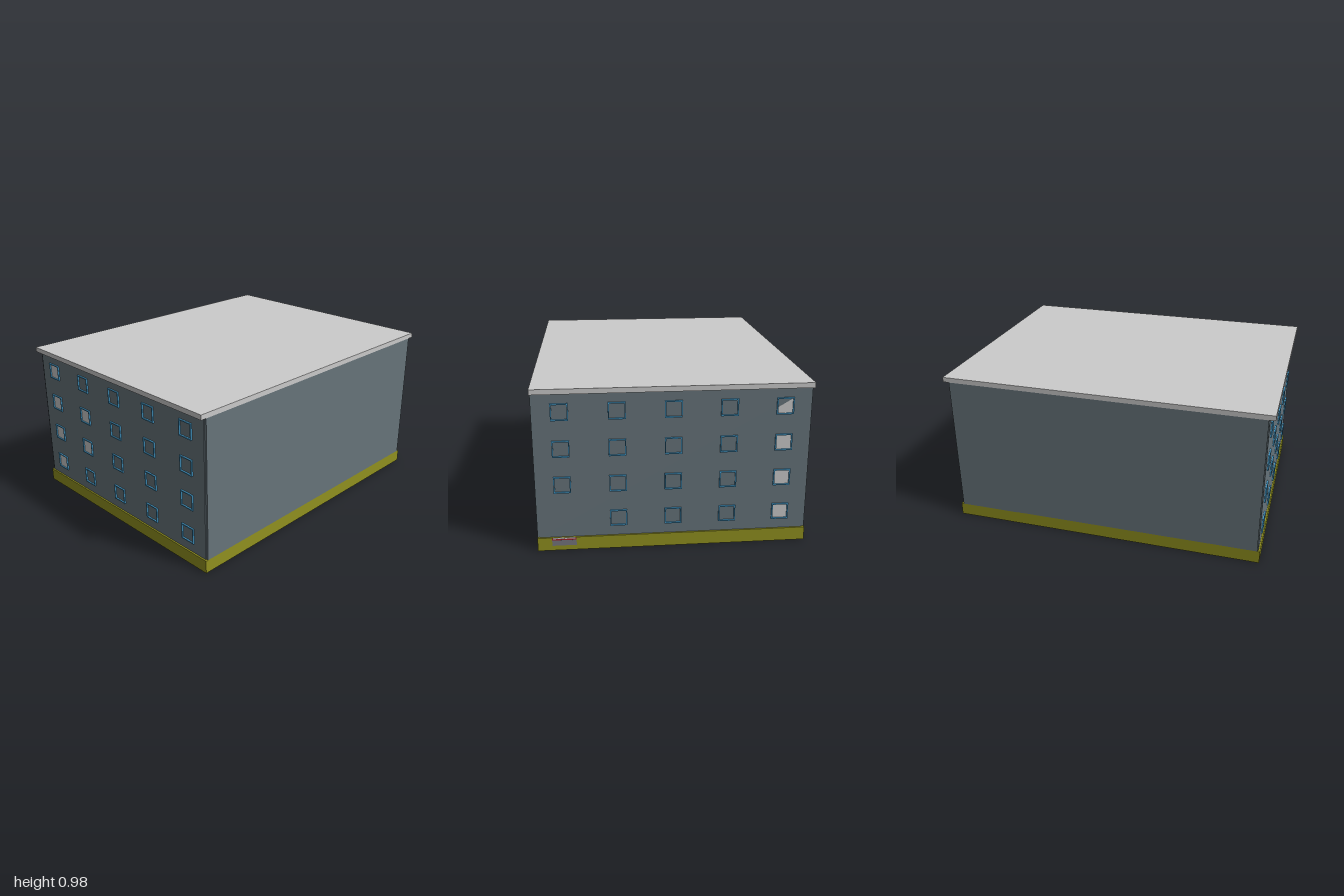
import * as THREE from 'three';

const mat = (color) => new THREE.MeshStandardMaterial({ color });
const wallMat = mat(0x67747b), baseMat = mat(0x91911f), greyMat = mat(0xcccccc);
const frameMat = mat(0x4ba6d8), redMat = mat(0xa02028), stepMat = mat(0x77777f);

function box(name, material, size, pos) {
  const mesh = new THREE.Mesh(new THREE.BoxGeometry(...size), material);
  mesh.name = name;
  mesh.position.set(...pos);
  return mesh;
}

// Square window frame facing +x, with an optional pane
const S = 0.098, T = 0.007;
function makeWindow(pane) {
  const g = new THREE.Group();
  g.name = 'window';
  const h = S / 2, i = h - T;
  const shape = new THREE.Shape([[-h, -h], [h, -h], [h, h], [-h, h]].map(p => new THREE.Vector2(...p)));
  shape.holes.push(new THREE.Path([[-i, -i], [-i, i], [i, i], [i, -i]].map(p => new THREE.Vector2(...p))));
  const geo = new THREE.ExtrudeGeometry(shape, { depth: 0.012, bevelEnabled: false });
  geo.rotateY(Math.PI / 2);
  const frame = new THREE.Mesh(geo, frameMat);
  frame.name = 'windowFrame';
  g.add(frame);
  if (pane) {
    // A half pane has its upper front corner cut away
    const cut = pane === 'half' ? -0.008 : i;
    const outline = new THREE.Shape([[-i, -i], [i, -i], [i, i], [-i, cut]].map(p => new THREE.Vector2(...p)));
    const glass = new THREE.Mesh(new THREE.ShapeGeometry(outline), greyMat);
    glass.name = 'windowPane';
    glass.rotation.y = Math.PI / 2;
    glass.position.x = 0.004;
    g.add(glass);
  }
  return g;
}

export function createModel() {
  const model = new THREE.Group();
  model.name = 'apartmentBlock';

  // Plinth, side walls, end walls and flat roof
  model.add(box('plinth', baseMat, [1.958, 0.08, 1.566], [0, 0.04, 0]));
  model.add(box('sideWalls', wallMat, [1.938, 0.867, 1.54], [0, 0.5115, 0]));
  for (const s of [1, -1]) {
    model.add(box('endWall', wallMat, [1.926, 0.867, 0.013], [0, 0.5115, s * 0.7765]));
  }
  model.add(box('roof', greyMat, [2, 0.03, 1.57], [0, 0.96, 0]));

  // Window grids on both long sides, leaving out the bay above the entrance
  for (const side of [1, -1]) {
    for (let col = -2; col <= 2; col++) {
      for (let row = 0; row < 4; row++) {
        if (side === 1 && col === 2 && row === 0) continue;
        let pane = col === -2 || (side === -1 && col === -1 && (row === 1 || row === 2));
        if (side === 1 && col === -2 && row === 3) pane = 'half';
        const w = makeWindow(pane);
        w.position.set(side * 0.966, 0.19 + row * 0.2155, col * 0.3145);
        if (side === -1) w.rotation.y = Math.PI;
        model.add(w);
      }
    }
  }

  // Low entrance set into the plinth
  const entrance = new THREE.Group();
  entrance.name = 'entrance';
  entrance.add(box('lowerStep', stepMat, [0.02, 0.02, 0.14], [0.9705, 0.04, 0.63]));
  entrance.add(box('upperStep', stepMat, [0.02, 0.014, 0.14], [0.971, 0.057, 0.63]));
  entrance.add(box('doorSill', redMat, [0.02, 0.013, 0.14], [0.9708, 0.0705, 0.63]));
  for (const s of [1, -1]) {
    entrance.add(box('doorLeaf', greyMat, [0.02, 0.007, 0.062], [0.9714, 0.0758, 0.63 + s * 0.033]));
  }
  model.add(entrance);
  return model;
}
